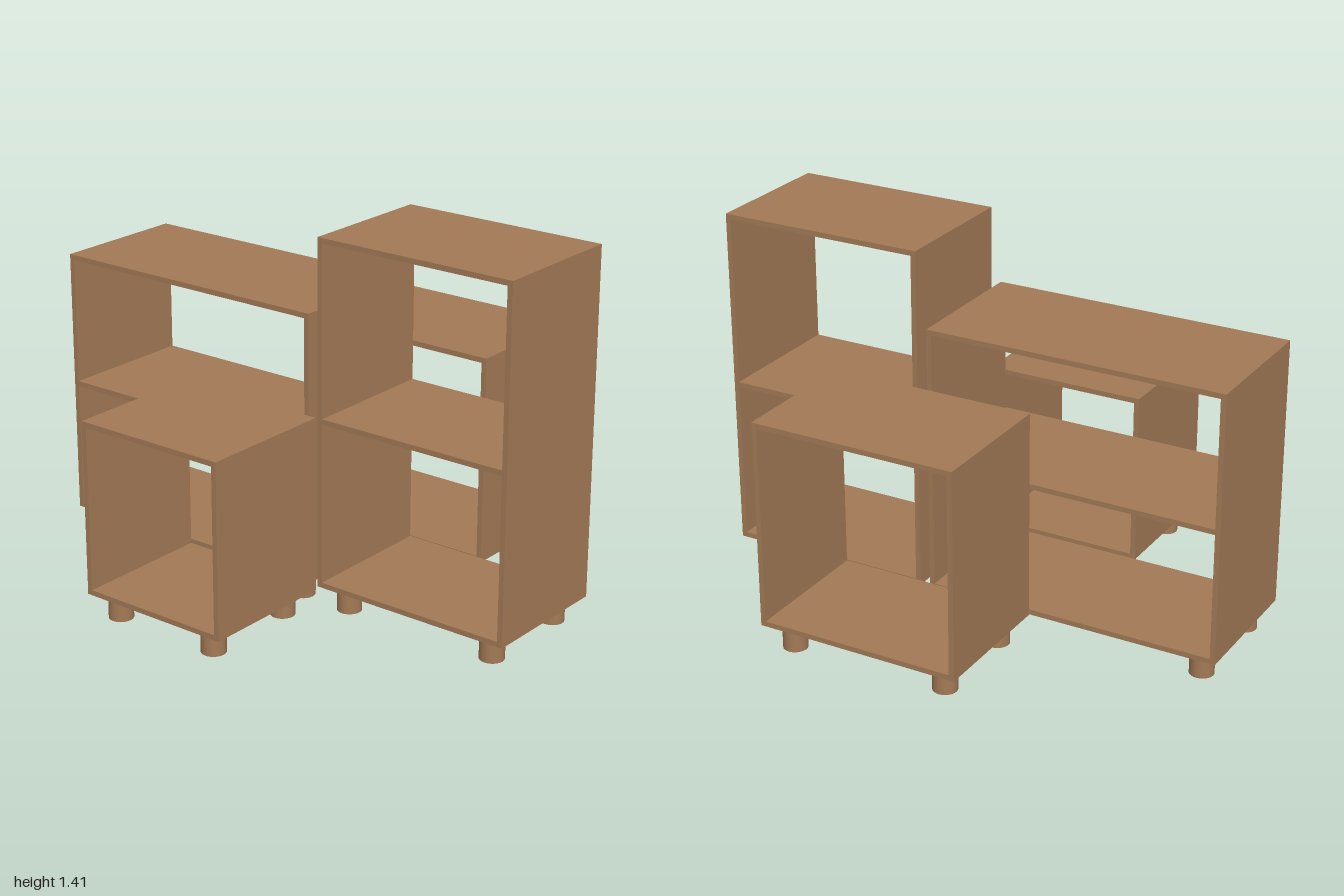
import * as THREE from 'three';

const T = 0.02;      // panel thickness
const BASE = 0.095;  // underside of the cabinets
const LEG_R = 0.046;

export function createModel() {
  const model = new THREE.Group();
  model.name = 'shelvingSet';
  const wood = new THREE.MeshStandardMaterial({ color: 0xa37a56 });
  wood.name = 'brown wood';

  function panel(parent, name, w, h, d, x, y, z) {
    const mesh = new THREE.Mesh(new THREE.BoxGeometry(w, h, d), wood);
    mesh.name = name;
    mesh.position.set(x, y, z);
    parent.add(mesh);
  }

  // Open-fronted and open-backed cabinet on four round legs
  function cabinet(name, x0, x1, z0, z1, top, shelf) {
    const g = new THREE.Group();
    g.name = name;
    const w = x1 - x0, d = z1 - z0, h = top - BASE;
    const cx = (x0 + x1) / 2, cz = (z0 + z1) / 2;
    panel(g, 'bottomPanel', w, T, d, cx, BASE + T / 2, cz);
    panel(g, 'topPanel', w, T, d, cx, top - T / 2, cz);
    for (const [side, x] of [['right', x0 + T / 2], ['left', x1 - T / 2]]) {
      panel(g, side + 'Panel', T, h - 2 * T, d, x, BASE + h / 2, cz);
    }
    if (shelf) panel(g, 'shelf', w - 2 * T, T, d, cx, shelf, cz);

    // Legs; the back left one sits slightly further back
    const legs = [
      ['frontRightLeg', x0 + 0.085, z1 - 0.08],
      ['frontLeftLeg', x1 - 0.093, z1 - 0.08],
      ['backRightLeg', x0 + 0.085, z0 + 0.084],
      ['backLeftLeg', x1 - 0.097, z0 + 0.071],
    ];
    for (const [legName, x, z] of legs) {
      const leg = new THREE.Mesh(new THREE.CylinderGeometry(LEG_R, LEG_R, BASE, 24), wood);
      leg.name = legName;
      leg.position.set(x, BASE / 2, z);
      g.add(leg);
    }
    model.add(g);
  }

  cabinet('wideCabinet', -1, 0.155, -0.28, 0.256, 1.125, 0.61);
  cabinet('tallCabinet', 0.195, 1, -0.28, 0.256, 1.41, 0.737);
  cabinet('frontCabinet', -0.41, 0.21, 0.285, 0.82, 0.76);
  cabinet('backCabinet', -0.265, 0.537, -0.82, -0.285, 0.895);
  return model;
}
